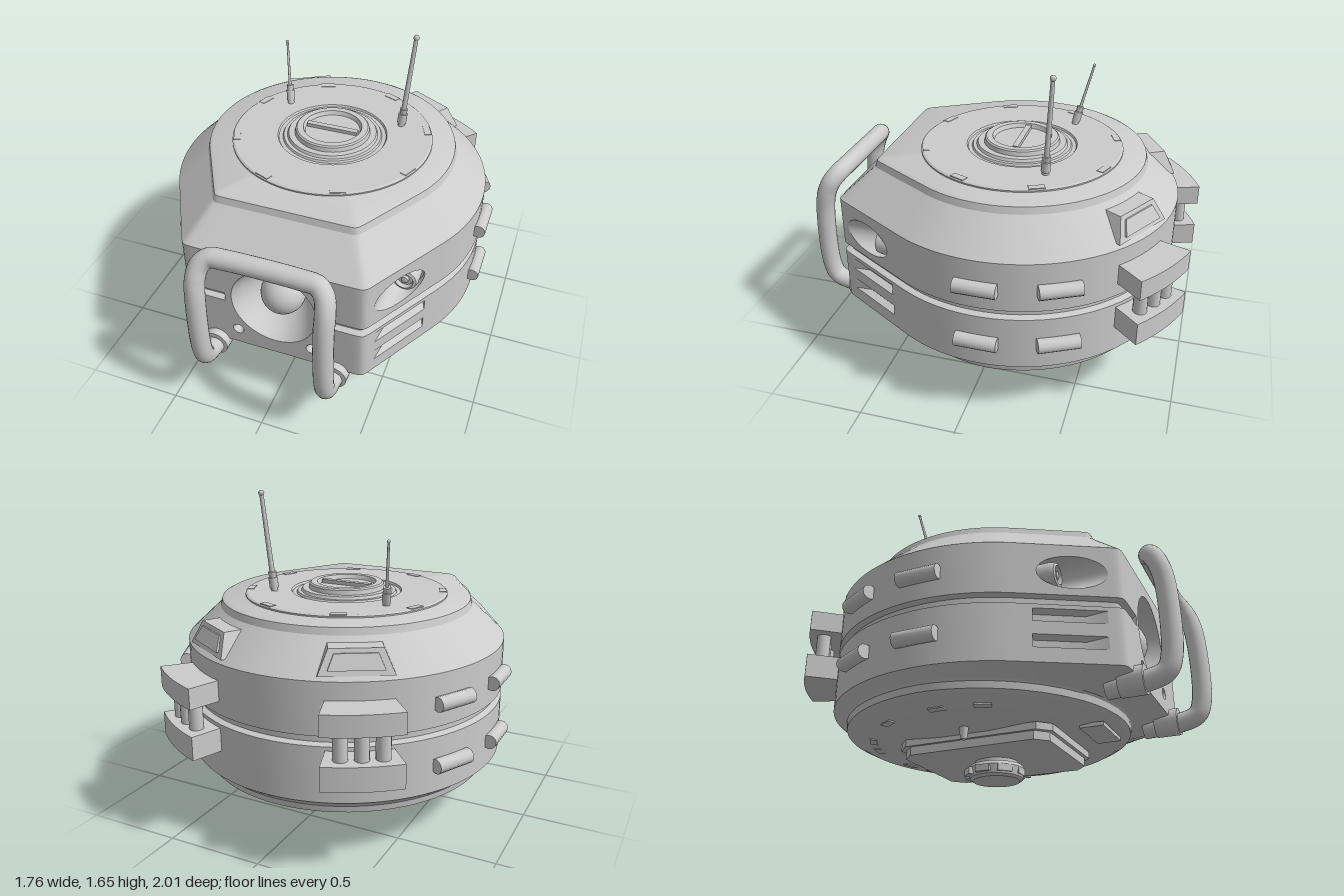
import * as THREE from 'three';
import { toCreasedNormals } from 'three/addons/utils/BufferGeometryUtils.js';
import { ConvexGeometry } from 'three/addons/geometries/ConvexGeometry.js';

const C = -0.07; // z of the hull's axis
const rad = THREE.MathUtils.degToRad;
const V = (x, y, z) => new THREE.Vector3(x, y, z);
const material = new THREE.MeshStandardMaterial({ color: 0xcccccc, side: THREE.DoubleSide });

// Hull plan: round at the back, three flat faces at the front; round = 1 gives the circular underside
function plan(R, deg, y, round = 0) {
  const t = rad(deg), front = Math.max(0, Math.sin(t));
  let r = R;
  if (round) r = R * (1 - 0.08 * front);
  else if (front > 0.5 + 1e-6) {
    const m = rad(deg > 90 ? 180 - deg : deg);
    const a = R / Math.cos(m - rad(30)), b = (R + 0.025) / Math.cos(m - rad(90));
    r = R === 0 ? 0 : Math.pow(Math.pow(a, -90) + Math.pow(b, -90), -1 / 90);
  }
  return V(r * Math.cos(t), y, C + r * Math.sin(t));
}

// Skin closed rings of points, leaving out quads where skip(column, row) is true
function skin(rings, skip = () => false) {
  const pts = [], n = rings[0].length;
  for (let j = 0; j < rings.length - 1; j++) for (let i = 0; i < n; i++) {
    if (skip(i, j)) continue;
    const k = (i + 1) % n, [p, q] = [rings[j], rings[j + 1]];
    pts.push(p[i], q[i], q[k], p[i], q[k], p[k]);
  }
  return toCreasedNormals(new THREE.BufferGeometry().setFromPoints(pts), 0.5);
}

const lathe = (profile, seg = 48) =>
  toCreasedNormals(new THREE.LatheGeometry(profile.map(p => new THREE.Vector2(...p)), seg), 0.5);
const circle = (cx, cy, r, n = 40) => Array.from({ length: n }, (_, i) =>
  [cx + r * Math.cos(i / n * 2 * Math.PI), cy + r * Math.sin(i / n * 2 * Math.PI)]);
const rect = (cx, cy, w, h) => [[-1, -1], [1, -1], [1, 1], [-1, 1]].map(([a, b]) => [cx + a * w / 2, cy + b * h / 2]);

export function createModel() {
  const group = new THREE.Group();
  const add = (name, geo, x = 0, y = 0, z = 0) => {
    const m = new THREE.Mesh(geo, material);
    m.name = name;
    m.position.set(x, y, z);
    group.add(m);
    return m;
  };
  // Place a part at an angle around the hull axis, its local +z facing outward
  const around = (name, geo, deg, r, y) => {
    const t = rad(deg);
    const m = add(name, geo, r * Math.cos(t), y, C + r * Math.sin(t));
    m.rotation.y = Math.PI / 2 - t;
    return m;
  };
  // Cylinder between two points
  const rod = (name, a, b, r0, r1) => {
    const m = add(name, new THREE.CylinderGeometry(r1, r0, a.distanceTo(b), 14));
    m.position.copy(a).lerp(b, 0.5);
    m.quaternion.setFromUnitVectors(V(0, 1, 0), b.clone().sub(a).normalize());
  };

  // Hull, left open where the front panels go
  const half = [];
  for (let t = -90; t <= 30; t += 4) half.push(t);
  half.push(34, 42, 50, 58.5, 59.5, 60.5, 61.5, 62.5, 64, 67, 73.1, 82, 90);
  const cols = [...half, ...half.slice(1, -1).reverse().map(t => 180 - t)];
  const loft = (rows, skip) => skin(rows.map(([R, y, k]) => cols.map(t => plan(R, t, y, k))), skip);
  const open = (i, j) => {
    const a = cols[i], b = cols[(i + 1) % cols.length];
    const t = (a + b) / 2, m = t > 90 ? 180 - t : t;
    if (i === cols.length - 1) return false;
    return (m > 73.1 && j >= 1 && j <= 5) || (m > 34 && m < 58.5 && (j === 1 || j === 5));
  };
  add('hull', loft([[0.77, 0.275, 1], [0.83, 0.32], [0.83, 0.6], [0.8, 0.61], [0.8, 0.64], [0.83, 0.65],
    [0.83, 0.91], [0.66, 1.07], [0.65, 1.105], [0.63, 1.115], [0, 1.115]], open));
  add('undersidePan', loft([[0, 0.165, 1], [0.35, 0.165, 1], [0.7, 0.205, 1], [0.755, 0.232, 1],
    [0.76, 0.265, 1], [0.77, 0.275, 1]]));

  // Flat front panel with recesses; each recess has a rim and steps of [scaleX, scaleY, z rule]
  const panel = (name, t0, t1, y0, y1, recesses) => {
    const A = plan(0.83, t0, 0), B = plan(0.83, t1, 0);
    const zAt = x => A.z + (B.z - A.z) * (x - A.x) / (B.x - A.x);
    const shape = new THREE.Shape(rect((A.x + B.x) / 2, (y0 + y1) / 2, Math.abs(A.x - B.x), y1 - y0)
      .map(p => new THREE.Vector2(...p)));
    for (const { rim, x: cx, y: cy, steps } of recesses) {
      shape.holes.push(new THREE.Path(rim.map(p => new THREE.Vector2(...p))));
      const back = rim.slice().reverse();
      add(name + 'Recess', skin([[1, 1, zAt], ...steps].map(([sx, sy, f]) => back.map(([x, y]) => {
        const px = cx + (x - cx) * sx;
        return V(px, cy + (y - cy) * sy, f(px, zAt));
      }))));
    }
    const geo = new THREE.ShapeGeometry(shape), p = geo.attributes.position;
    for (let i = 0; i < p.count; i++) p.setZ(i, zAt(p.getX(i)));
    geo.computeVertexNormals();
    add(name, geo);
  };

  // Centre panel: bowl with a ball, two screw holes
  const bowl = [[0.87, 0.71], [0.7, 0.64], [0.5, 0.585], [0, 0.56]].map(([s, z]) => [s, s, () => z]);
  const screw = [[0.75, 0.765], [0.6, 0.74], [0, 0.74]].map(([s, z]) => [s, s, () => z]);
  panel('frontPanel', 73.1, 106.9, 0.32, 0.91, [
    { rim: circle(0, 0.63, 0.225, 56), x: 0, y: 0.63, steps: bowl },
    ...[-0.2, 0.2].map(x => ({ rim: circle(x, 0.415, 0.03, 16), x, y: 0.415, steps: screw }))]);
  add('frontBall', new THREE.SphereGeometry(0.115, 36, 24), 0, 0.625, 0.65);

  for (const s of [1, -1]) {
    const deg = t => s > 0 ? t : 180 - t;
    // Side panels: lamp recess above, two vents below
    panel('lampPanel', deg(34), deg(58.5), 0.65, 0.91, [{
      rim: circle(s * 0.58, 0.77, 0.083), x: s * 0.58, y: 0.77,
      steps: [[0.9, 0.9, () => 0.43], [0, 0, () => 0.43]] }]);
    const lamp = add('lamp', lathe([[0.066, 0], [0.066, 0.06], [0.058, 0.085], [0.045, 0.09], [0.038, 0.07],
      [0.02, 0.07], [0.018, 0.085], [0, 0.09]], 32), s * 0.58, 0.77, 0.43);
    lamp.rotation.x = Math.PI / 2;
    const inset = (x, zAt) => zAt(x) - 0.07;
    panel('ventPanel', deg(34), deg(58.5), 0.32, 0.6, [0.548, 0.422].map(y => ({
      rim: rect(s * 0.588, y, 0.17, 0.062), x: s * 0.588, y,
      steps: [[0.8, 0.5, inset], [0, 0, inset]] })));

    // Raised grips around the sides, two rows
    for (const y of [0.768, 0.46]) for (const t of [0, -27]) {
      const grip = new THREE.CylinderGeometry(0.037, 0.037, 0.21, 12);
      grip.rotateZ(Math.PI / 2);
      around('sideGrip', toCreasedNormals(grip, 0.6), deg(t), 0.843, y);
    }

    // Rear clamps: two curved blocks joined by three pins
    const arc = new THREE.Shape();
    const [a0, a1] = s > 0 ? [-70, -48] : [-132, -110];
    arc.absarc(0, 0, 0.99, rad(a0), rad(a1), false);
    arc.absarc(0, 0, 0.78, rad(a1), rad(a0), true);
    for (const [top, h] of [[0.822, 0.105], [0.58, 0.12]]) {
      const block = new THREE.ExtrudeGeometry(arc, { depth: h, bevelEnabled: false, curveSegments: 10 });
      block.rotateX(Math.PI / 2);
      add('rearClampBlock', toCreasedNormals(block, 0.5), 0, top, C);
    }
    for (const d of [-6, 0, 6])
      around('rearClampPin', new THREE.CylinderGeometry(0.035, 0.035, 0.16, 18), deg(-59 + d), 0.915, 0.648);

    // Rear shoulder pods with a raised window
    const pod = (w0, w1, r0, r1, ry0, ry1, y0, y1) => new ConvexGeometry([-1, 1].flatMap(k => [
      V(k * w0, y0, ry0), V(k * w1, y1, ry1), V(k * w1, y1, r1), V(k * w0, y0, r0)]));
    around('shoulderPod', pod(0.175, 0.125, 0.6, 0.6, 0.81, 0.765, 0.93, 1.045), deg(-60), 0, 0);
    around('podWindow', pod(0.13, 0.1, 0.7, 0.7, 0.812, 0.78, 0.955, 1.025), deg(-60), 0, 0);

    // Handle sockets and underside pegs
    const socket = new THREE.CylinderGeometry(0.07, 0.07, 0.12, 28);
    socket.rotateX(Math.PI / 2);
    add('handleSocket', socket, s * 0.325, 0.3, 0.765);
    add('undersidePeg', new THREE.CylinderGeometry(0.028, 0.015, 0.085, 12), s * 0.39, 0.157, -0.05);
  }

  // Front handle
  const side = [[0.325, 0.28, 0.64], [0.325, 0.295, 0.84], [0.325, 0.325, 0.92], [0.325, 0.4, 0.95],
    [0.325, 0.75, 0.95], [0.325, 0.86, 0.928], [0.31, 0.925, 0.897], [0.27, 0.958, 0.872], [0.2, 0.963, 0.867]];
  const path = [...side, ...side.slice().reverse().map(([x, y, z]) => [-x, y, z])].map(p => V(...p));
  add('handle', new THREE.TubeGeometry(new THREE.CatmullRomCurve3(path, false, 'centripetal'), 140, 0.05, 20));

  // Top hatch with a slotted cap
  add('topHatch', lathe([[0.53, 1.11], [0.53, 1.122], [0.52, 1.128], [0.29, 1.128], [0.284, 1.118], [0.264, 1.118],
    [0.258, 1.128], [0.24, 1.128], [0.232, 1.142], [0.2, 1.142], [0.195, 1.165], [0.187, 1.172], [0.155, 1.172],
    [0.145, 1.15], [0, 1.15]], 72), 0, 0, C);
  add('capBar', new THREE.BoxGeometry(0.28, 0.025, 0.03), 0, 1.157, C);
  for (let i = 0; i < 8; i++)
    around('hatchTab', new THREE.BoxGeometry(0.08, 0.006, 0.035), 22.5 + i * 45, 0.505, 1.128);

  // Antennas
  const antenna = (x, z, tip, r, baseR) => {
    const foot = V(x, 1.115, z), at = f => foot.clone().lerp(tip, f / tip.distanceTo(foot));
    rod('antennaFoot', foot, at(0.04), 0.018, 0.018);
    rod('antennaBase', at(0.03), at(0.085), baseR, baseR);
    rod('antennaCollar', at(0.085), at(0.115), baseR * 0.75, baseR * 0.9);
    rod('antennaMast', at(0.1), tip, r, r * 0.75);
    add('antennaTip', new THREE.SphereGeometry(r * 1.1, 12, 8), tip.x, tip.y, tip.z);
  };
  antenna(0.32, -0.27, V(0.362, 1.635, -0.305), 0.014, 0.024);
  antenna(-0.325, -0.285, V(-0.372, 1.457, -0.372), 0.008, 0.022);

  // Underside plate in two tiers with clipped corners
  for (const [w, d, top, h] of [[0.32, 0.41, 0.178, 0.036], [0.305, 0.39, 0.142, 0.042]]) {
    const c = 0.06;
    const pts = [[w, d - c], [w - c, d], [c - w, d], [-w, d - c], [-w, c - d], [c - w, -d], [w - c, -d], [w, c - d]];
    const plate = new THREE.ExtrudeGeometry(new THREE.Shape(pts.map(p => new THREE.Vector2(...p))),
      { depth: h, bevelEnabled: false });
    plate.rotateX(Math.PI / 2);
    add('undersidePlate', plate, 0, top, -0.06);
  }
  add('frontLip', new THREE.BoxGeometry(0.28, 0.02, 0.12), 0, 0.188, 0.5);
  // Bottom knob with grip blocks
  add('bottomKnob', lathe([[0, 0.004], [0.12, 0.004], [0.135, 0.015], [0.145, 0.06], [0.135, 0.078], [0.11, 0.08],
    [0.11, 0.105]], 36), 0, 0, -0.06);
  for (let i = 0; i < 8; i++)
    around('knobGrip', new THREE.BoxGeometry(0.075, 0.034, 0.03), i * 45, 0.136, 0.042);
  // Slots around the pan
  for (const t of [-150, -120, -105, -75, -60, -30, 0, 20, 160, 180]) {
    const slot = around('panSlot', new THREE.BoxGeometry(0.08, 0.01, 0.035), t, 0.62, 0.195);
    slot.rotateX(-0.11);
  }
  return group;
}
